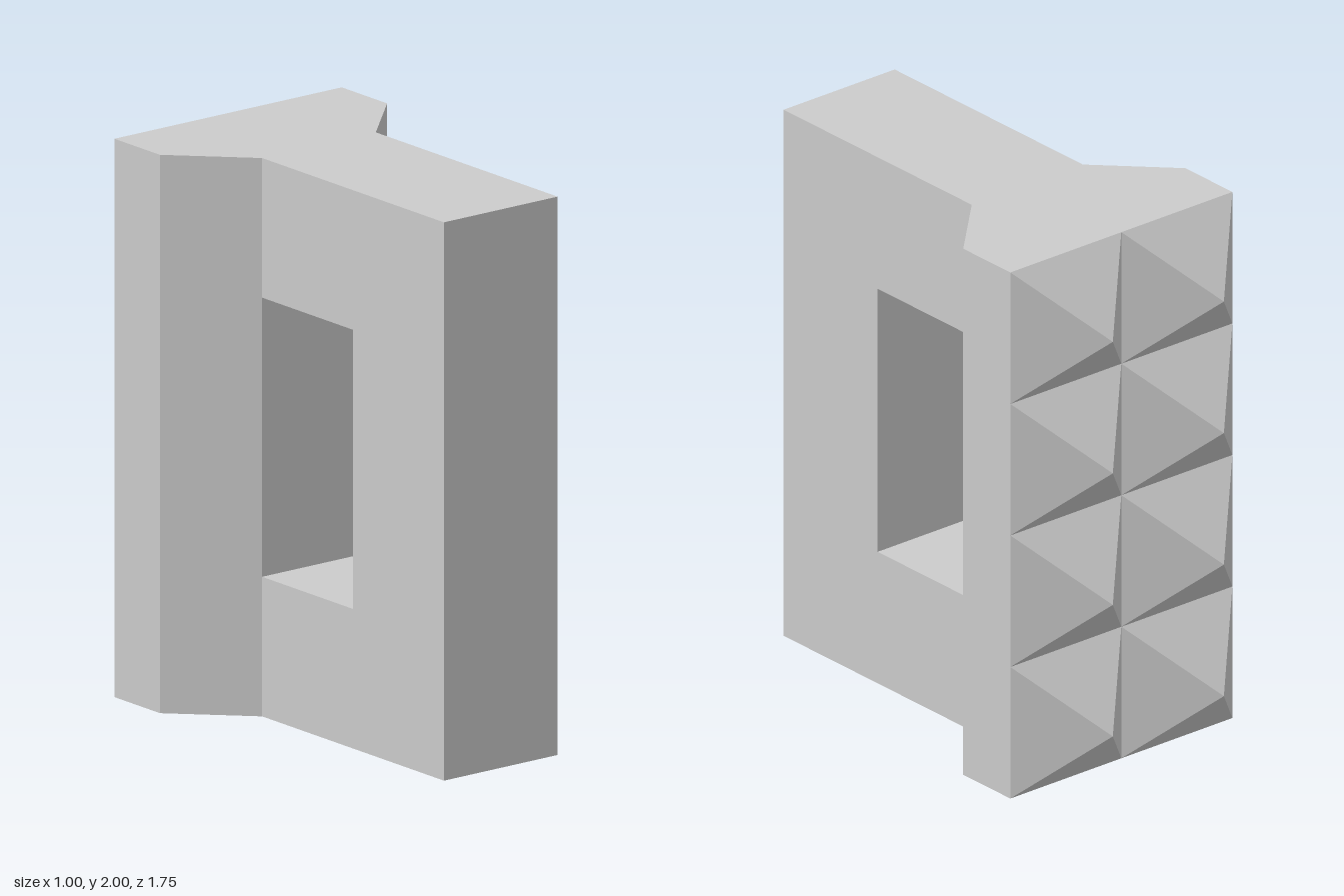
import * as THREE from 'three';

const material = new THREE.MeshStandardMaterial({ color: 0xcccccc, flatShading: true });

function polygon(points) {
  return new THREE.Shape(points.map(([x, y]) => new THREE.Vector2(x, y)));
}

function addPart(group, name, geometry) {
  const mesh = new THREE.Mesh(geometry, material);
  mesh.name = name;
  group.add(mesh);
  return mesh;
}

export function createModel() {
  const group = new THREE.Group();
  group.name = 'studdedHandle';

  // C-shaped grip, drawn in the z-y plane and extruded across x
  const gripShape = polygon([
    [-0.125, 0], [0.875, 0], [0.875, 2], [-0.125, 2],
    [-0.125, 1.5], [0.375, 1.5], [0.375, 0.5], [-0.125, 0.5],
  ]);
  const grip = new THREE.ExtrudeGeometry(gripShape, { depth: 0.5, bevelEnabled: false });
  grip.rotateY(-Math.PI / 2).translate(0.25, 0, 0);
  addPart(group, 'grip', grip);

  // Flared head, drawn in plan (x, -z) and extruded upwards
  const headShape = polygon([
    [-0.25, 0.125], [0.25, 0.125], [0.5, 0.375],
    [0.5, 0.625], [-0.5, 0.625], [-0.5, 0.375],
  ]);
  const head = new THREE.ExtrudeGeometry(headShape, { depth: 2, bevelEnabled: false });
  head.rotateX(-Math.PI / 2);
  addPart(group, 'head', head);

  // Two columns of four pyramid studs on the back of the head
  const stud = new THREE.ConeGeometry(0.25 * Math.SQRT2, 0.25, 4, 1, true)
    .rotateY(Math.PI / 4).rotateX(-Math.PI / 2).toNonIndexed();
  stud.computeVertexNormals();
  const studs = new THREE.Group();
  studs.name = 'studs';
  for (const x of [-0.25, 0.25]) {
    for (let row = 0; row < 4; row++) {
      addPart(studs, 'stud', stud).position.set(x, 0.25 + row * 0.5, -0.75);
    }
  }
  group.add(studs);

  return group;
}
